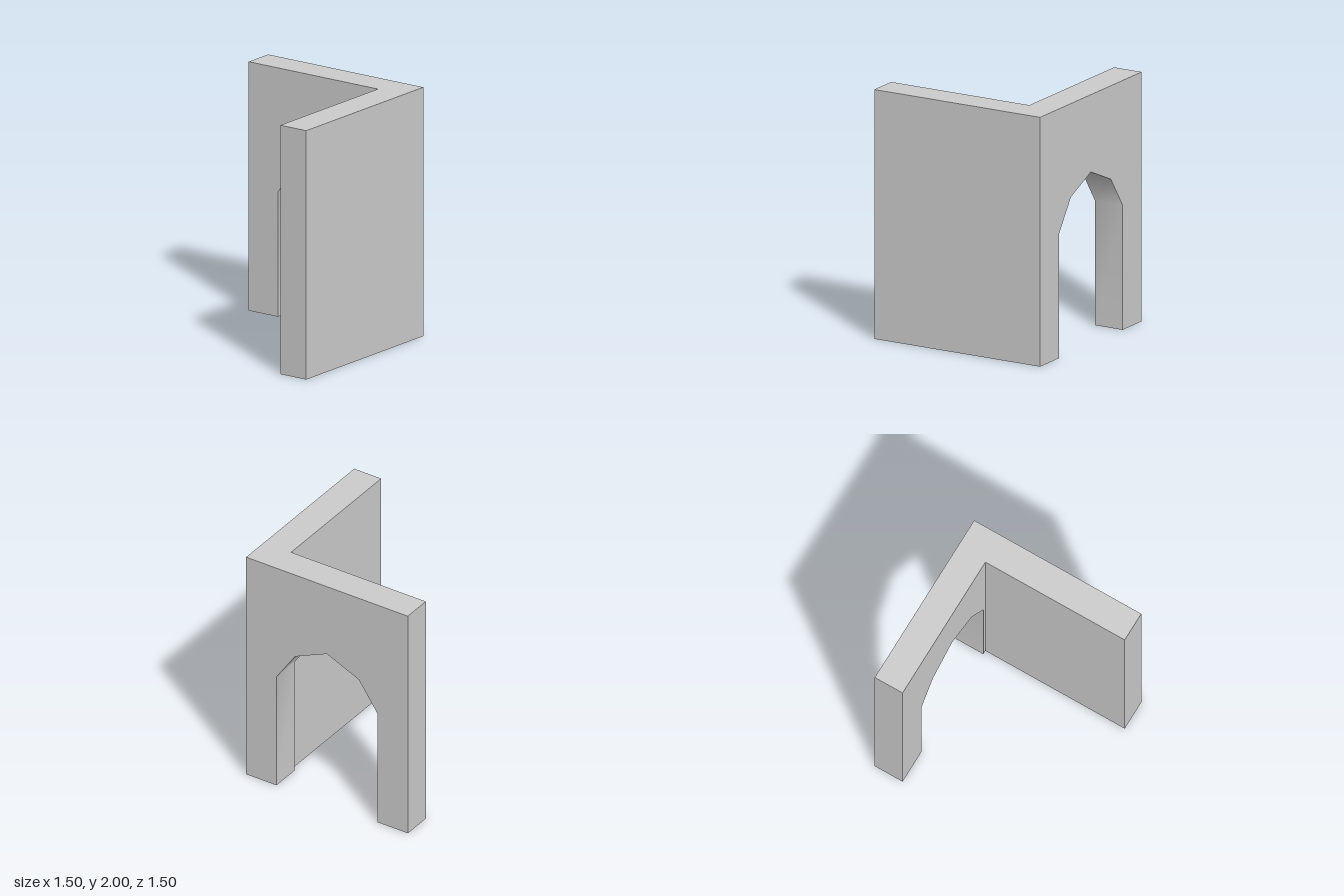
import * as THREE from 'three';

const material = new THREE.MeshStandardMaterial({ color: 0xcccccc, side: THREE.DoubleSide });
const HALF = 0.75, INNER = 0.5, THICK = 0.25, HEIGHT = 2;

// Arch outline from the +x foot over the top to the -x foot
const arch = [[0.468, 0], [0.468, 1], [0.295, 1.25], [0, 1.38], [-0.295, 1.25], [-0.468, 1], [-0.468, 0]];

const shapeOf = (points) => new THREE.Shape(points.map(([x, y]) => new THREE.Vector2(x, y)));

// Wall face with the arched doorway cut from its foot
const archedFace = (left, right) => new THREE.ShapeGeometry(
  shapeOf([[right, 0], [right, HEIGHT], [left, HEIGHT], [left, 0], ...arch.slice().reverse()]));

// Smooth strip lining the doorway through the wall thickness
function archLining() {
  const positions = [], index = [];
  arch.forEach(([x, y], i) => {
    positions.push(x, y, -INNER, x, y, -HALF);
    if (i < arch.length - 1) {
      const a = 2 * i;
      index.push(a, a + 2, a + 1, a + 2, a + 3, a + 1);
    }
  });
  const geometry = new THREE.BufferGeometry();
  geometry.setAttribute('position', new THREE.Float32BufferAttribute(positions, 3));
  geometry.setIndex(index);
  geometry.computeVertexNormals();
  return geometry;
}

export function createModel() {
  const group = new THREE.Group();
  const add = (name, geometry, x, y, z, turnY = 0, turnX = 0) => {
    const mesh = new THREE.Mesh(geometry, material);
    mesh.name = name;
    mesh.position.set(x, y, z);
    mesh.rotation.set(turnX, turnY, 0);
    group.add(mesh);
  };
  const panel = (width) => new THREE.PlaneGeometry(width, HEIGHT);
  const mid = HEIGHT / 2, quarter = Math.PI / 2;

  // Doorway wall
  add('doorwayWallFront', archedFace(-HALF, INNER), 0, 0, -INNER);
  add('doorwayWallBack', archedFace(-HALF, HALF), 0, 0, -HALF, Math.PI);
  add('doorwayWallEnd', panel(THICK), -HALF, mid, -(HALF + INNER) / 2, -quarter);
  add('doorwayLining', archLining(), 0, 0, 0);

  // Solid side wall
  add('sideWallOuter', panel(2 * HALF), HALF, mid, 0, quarter);
  add('sideWallInner', panel(HALF + INNER), INNER, mid, THICK / 2, -quarter);
  add('sideWallEnd', panel(THICK), (HALF + INNER) / 2, mid, HALF);

  // L-shaped cap; the foot of the walls stays open
  const cap = shapeOf([[-HALF, HALF], [-HALF, INNER], [INNER, INNER], [INNER, -HALF], [HALF, -HALF], [HALF, HALF]]);
  add('wallTop', new THREE.ShapeGeometry(cap), 0, HEIGHT, 0, 0, -quarter);

  return group;
}
